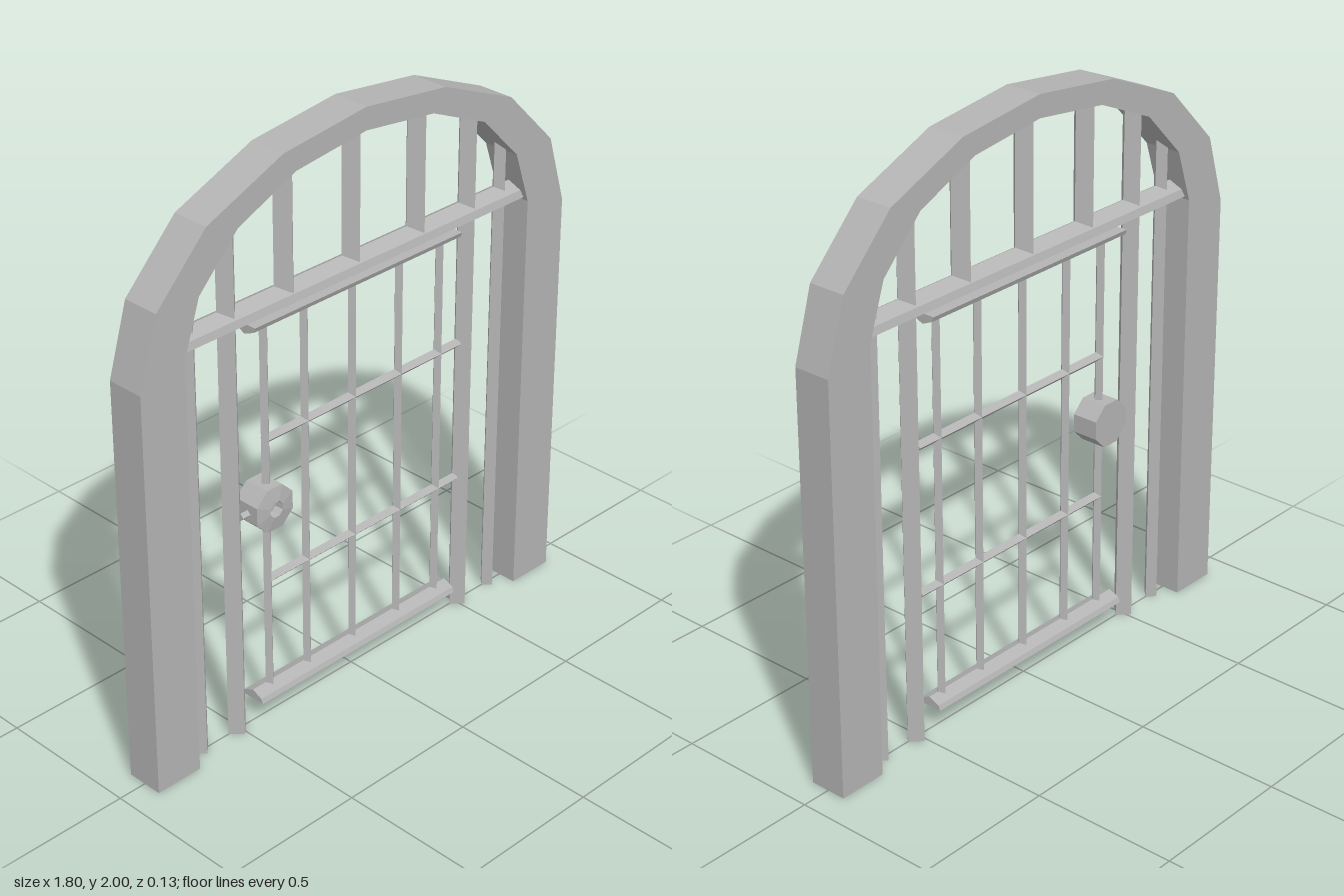
import * as THREE from 'three';

const iron = new THREE.MeshStandardMaterial({ color: 0xb4b4b4 });
iron.name = 'grey';

export function createModel() {
  const gate = new THREE.Group();
  gate.name = 'archedGate';

  // Adds a mesh with one normal per face
  function add(name, geometry, parent = gate) {
    const g = geometry.index ? geometry.toNonIndexed() : geometry;
    g.computeVertexNormals();
    const mesh = new THREE.Mesh(g, iron);
    mesh.name = name;
    parent.add(mesh);
    return mesh;
  }

  // Four-sided bars with an edge facing front
  function upright(name, x, y0, y1, r, parent) {
    add(name, new THREE.CylinderGeometry(r, r, y1 - y0, 4), parent).position.set(x, (y0 + y1) / 2, 0);
  }
  function level(name, y, x0, x1, r, parent) {
    const g = new THREE.CylinderGeometry(r, r, x1 - x0, 4).rotateZ(Math.PI / 2);
    add(name, g, parent).position.set((x0 + x1) / 2, y, 0);
  }

  // Ridged rail: flat on one side, ridge on the other (dir 1 = ridge up)
  function rail(name, y, x0, x1, halfDepth, height, dir, parent) {
    const s = new THREE.Shape([
      [-halfDepth, 0], [halfDepth, 0], [halfDepth * 0.85, height / 2],
      [0, height], [-halfDepth * 0.85, height / 2],
    ].map(([z, h]) => new THREE.Vector2(z, h * dir)));
    const g = new THREE.ExtrudeGeometry(s, { depth: x1 - x0, bevelEnabled: false }).rotateY(Math.PI / 2);
    add(name, g, parent).position.set(x0, y, 0);
  }

  // Stone arch: outer and inner half outlines, mirrored
  const outer = [[0.9, 0], [0.9, 1.4], [0.83, 1.635], [0.635, 1.835], [0.335, 1.96]];
  const inner = [[0.73, 0], [0.73, 1.45], [0.67, 1.63], [0.515, 1.79], [0.285, 1.89]];
  const mirror = (pts) => pts.map(([x, y]) => [-x, y]);
  const outline = [
    ...outer, [0, 2], ...mirror(outer).reverse(),
    ...mirror(inner), [0, 1.925], ...[...inner].reverse(),
  ].map(([x, y]) => new THREE.Vector2(x, y));
  const arch = new THREE.ExtrudeGeometry(new THREE.Shape(outline), { depth: 0.13, bevelEnabled: false });
  add('arch', arch.translate(0, 0, -0.065));

  // Fixed bars and the crossbar below the arch
  for (const side of [-1, 1]) {
    upright('outerBar', side * 0.663, 0, 1.67, 0.026);
    upright('doorPost', side * 0.512, 0, 1.83, 0.037);
    upright('upperBar', side * 0.28, 1.47, 1.93, 0.04);
  }
  upright('upperBar', 0, 1.47, 1.95, 0.039);
  rail('crossbar', 1.46, -0.735, 0.735, 0.05, 0.05, 1);

  // Barred door
  const door = new THREE.Group();
  door.name = 'door';
  gate.add(door);
  rail('bottomRail', 0.083, -0.44, 0.447, 0.045, 0.034, 1, door);
  rail('topRail', 1.432, -0.44, 0.447, 0.045, 0.034, -1, door);
  for (const x of [-0.367, -0.2, 0.005, 0.21, 0.392]) upright('doorBar', x, 0.1, 1.41, 0.017, door);
  for (const y of [0.505, 1.01]) level('doorCrossbar', y, -0.37, 0.485, 0.017, door);

  // Octagonal lock case with a recessed keyhole, and its bolt
  const profile = [[0, -0.05], [0.081, -0.05], [0.081, 0.042], [0.028, 0.05], [0.024, 0.02], [0, 0.02]]
    .map(([r, y]) => new THREE.Vector2(r, y));
  const lock = new THREE.LatheGeometry(profile, 8, Math.PI / 8).rotateX(Math.PI / 2);
  add('lockCase', lock, door).position.set(-0.37, 0.782, 0);
  level('bolt', 0.779, -0.475, -0.43, 0.013, door);

  return gate;
}
